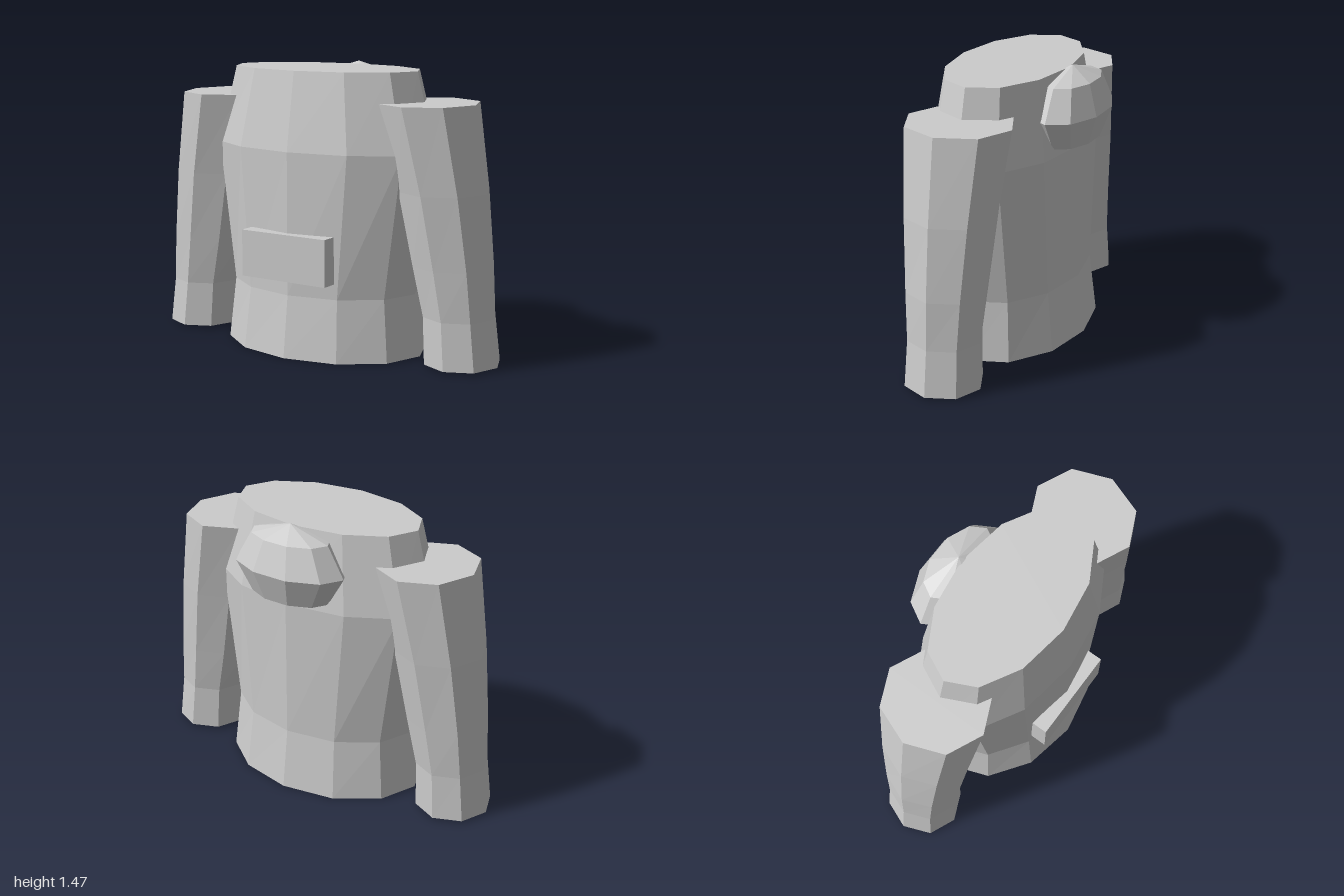
import * as THREE from 'three';

// Faceted tube through elliptical rings [y, centreX, radiusX, radiusZ], listed bottom to top, with flat caps
function loft(rings, sides, cz) {
  const pos = [], index = [];
  rings.forEach(([y, cx, rx, rz]) => {
    for (let i = 0; i < sides; i++) {
      const a = (i / sides) * Math.PI * 2;
      pos.push(cx + rx * Math.sin(a), y, cz + rz * Math.cos(a));
    }
  });
  const last = (rings.length - 1) * sides;
  for (let r = 0; r < last; r += sides) {
    for (let i = 0; i < sides; i++) {
      const j = (i + 1) % sides;
      index.push(r + i, r + j, r + sides + j, r + i, r + sides + j, r + sides + i);
    }
  }
  for (let i = 1; i < sides - 1; i++) {
    index.push(0, i + 1, i); // bottom cap
    index.push(last, last + i, last + i + 1); // top cap
  }
  const g = new THREE.BufferGeometry();
  g.setAttribute('position', new THREE.Float32BufferAttribute(pos, 3));
  g.setIndex(index);
  const flat = g.toNonIndexed();
  flat.computeVertexNormals();
  return flat;
}

export function createModel() {
  const group = new THREE.Group();
  const fabric = new THREE.MeshStandardMaterial({ color: 0xcccccc, flatShading: true });
  fabric.name = 'grey fabric';

  const add = (name, geometry) => {
    const mesh = new THREE.Mesh(geometry, fabric);
    mesh.name = name;
    group.add(mesh);
    return mesh;
  };

  // Torso: flared hem, wide chest, narrower shoulders
  add('torso', loft([
    [0, 0, 0.565, 0.405],
    [0.32, 0, 0.53, 0.365],
    [1.05, 0, 0.64, 0.365],
    [1.45, 0, 0.535, 0.3],
  ], 12, 0.043));

  // Sleeves: curve outward and taper to a slightly flared cuff
  for (const side of [1, -1]) {
    add(side > 0 ? 'leftSleeve' : 'rightSleeve', loft([
      [0.01, side * 0.805, 0.195, 0.205],
      [0.25, side * 0.785, 0.185, 0.195],
      [0.5, side * 0.748, 0.21, 0.212],
      [0.87, side * 0.69, 0.23, 0.243],
      [1.3, side * 0.6, 0.255, 0.28],
    ], 8, 0.04));
  }

  // Folded hood on the upper back
  const hood = add('hood', new THREE.SphereGeometry(1, 10, 4));
  hood.scale.set(0.32, 0.22, 0.185);
  hood.position.set(0, 1.245, -0.275);

  // Front pocket
  const pocket = add('pocket', new THREE.BoxGeometry(0.5, 0.24, 0.09));
  pocket.position.set(0, 0.52, 0.405);

  return group;
}
